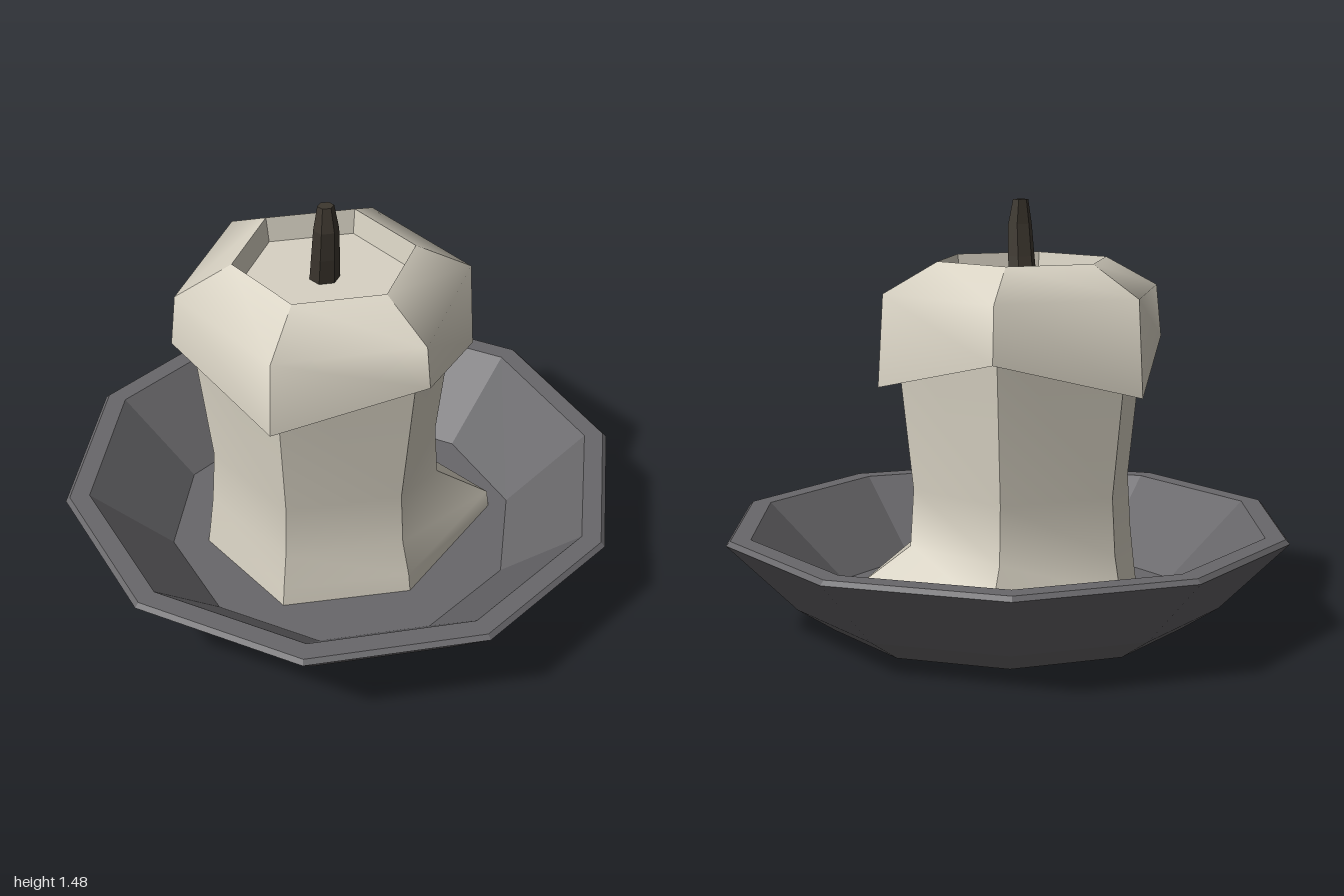
import * as THREE from 'three';

const wax = new THREE.MeshStandardMaterial({ color: 0xd8d2c3 });
wax.name = 'wax';
const iron = new THREE.MeshStandardMaterial({ color: 0x68676a });
iron.name = 'darkDish';
const char = new THREE.MeshStandardMaterial({ color: 0x3d372f });
char.name = 'charredWick';

const SIDES = 6;

// Hexagonal loft: each ring maps a corner index to [radius, height].
// Corners stay sharp while the profile is smooth from ring to ring.
function loft(rings) {
  const pos = [], index = [];
  for (let i = 0; i < SIDES; i++) {
    const base = pos.length / 3;
    for (const ring of rings) {
      for (const k of [i, (i + 1) % SIDES]) {
        const [r, y] = ring(k), a = (k / SIDES) * Math.PI * 2;
        pos.push(r * Math.cos(a), y, r * Math.sin(a));
      }
    }
    for (let j = 0; j < rings.length - 1; j++) {
      const p = base + j * 2, q = p + 1, p2 = p + 2, q2 = p + 3;
      index.push(q, p, q2, p, p2, q2);
    }
  }
  const g = new THREE.BufferGeometry();
  g.setAttribute('position', new THREE.Float32BufferAttribute(pos, 3));
  g.setIndex(index);
  g.computeVertexNormals();
  return g;
}

const ring = (r, y) => () => [r, y];

function add(parent, name, geometry, material) {
  const mesh = new THREE.Mesh(geometry, material);
  mesh.name = name;
  parent.add(mesh);
  return mesh;
}

function faceted(geometry) {
  const g = geometry.toNonIndexed();
  g.computeVertexNormals();
  return g;
}

export function createModel() {
  const model = new THREE.Group();
  model.name = 'candleOnDish';

  // Ten-sided dish with a flat rim and hollow inside
  const profile = [[0, 0], [0.63, 0.005], [0.76, 0.09], [1, 0.335], [0.985, 0.35],
    [0.915, 0.35], [0.63, 0.08], [0, 0.08]].map(([r, y]) => new THREE.Vector2(r, y));
  add(model, 'dish', faceted(new THREE.LatheGeometry(profile, 10, Math.PI / 2)), iron);

  const candle = new THREE.Group();
  candle.name = 'candle';
  candle.position.set(-0.063, 0, 0.015);
  model.add(candle);

  // Candle body, with melted wax spreading at two of its corners
  const puddle = [0.61, 0.45, 0.44, 0.43, 0.44, 0.55];
  add(candle, 'candleBody', loft([
    (k) => [puddle[k] + 0.01, 0.075],
    (k) => [puddle[k], 0.15],
    ring(0.415, 0.28),
    ring(0.402, 0.48),
    ring(0.465, 1.06),
  ]), wax);

  // Melted cap with an uneven dripping hem
  const hem = [0.845, 1.015, 0.895, 0.98, 0.835, 0.97];
  add(candle, 'meltedCap', loft([
    (k) => [0.525, hem[k]],
    ring(0.505, 1.165),
    ring(0.31, 1.27),
  ]), wax);
  add(candle, 'capUnderside', loft([
    (k) => [0.44, hem[k] + 0.03],
    (k) => [0.525, hem[k]],
  ]), wax);

  // Shallow well around the wick
  add(candle, 'wellWall', loft([ring(0.31, 1.27), ring(0.295, 1.18)]), wax);
  add(candle, 'wellFloor', loft([ring(0.295, 1.18), ring(0, 1.18)]), wax);

  // Bent wick: the upper part leans forward and tapers
  const wick = new THREE.CylinderGeometry(0.028, 0.052, 0.3, SIDES, 3);
  wick.rotateY(Math.PI / 6);
  const p = wick.attributes.position;
  const scale = [1, 1.1, 1.2, 1], lean = [0, 0.02, 0.034, 0.028], heights = [1.175, 1.28, 1.39, 1.475];
  for (let i = 0; i < p.count; i++) {
    const level = Math.round((p.getY(i) + 0.15) / 0.1);
    p.setXYZ(i, p.getX(i) * scale[level], heights[level], p.getZ(i) * scale[level] * 0.85 + lean[level]);
  }
  add(candle, 'wick', faceted(wick), char);

  return model;
}
